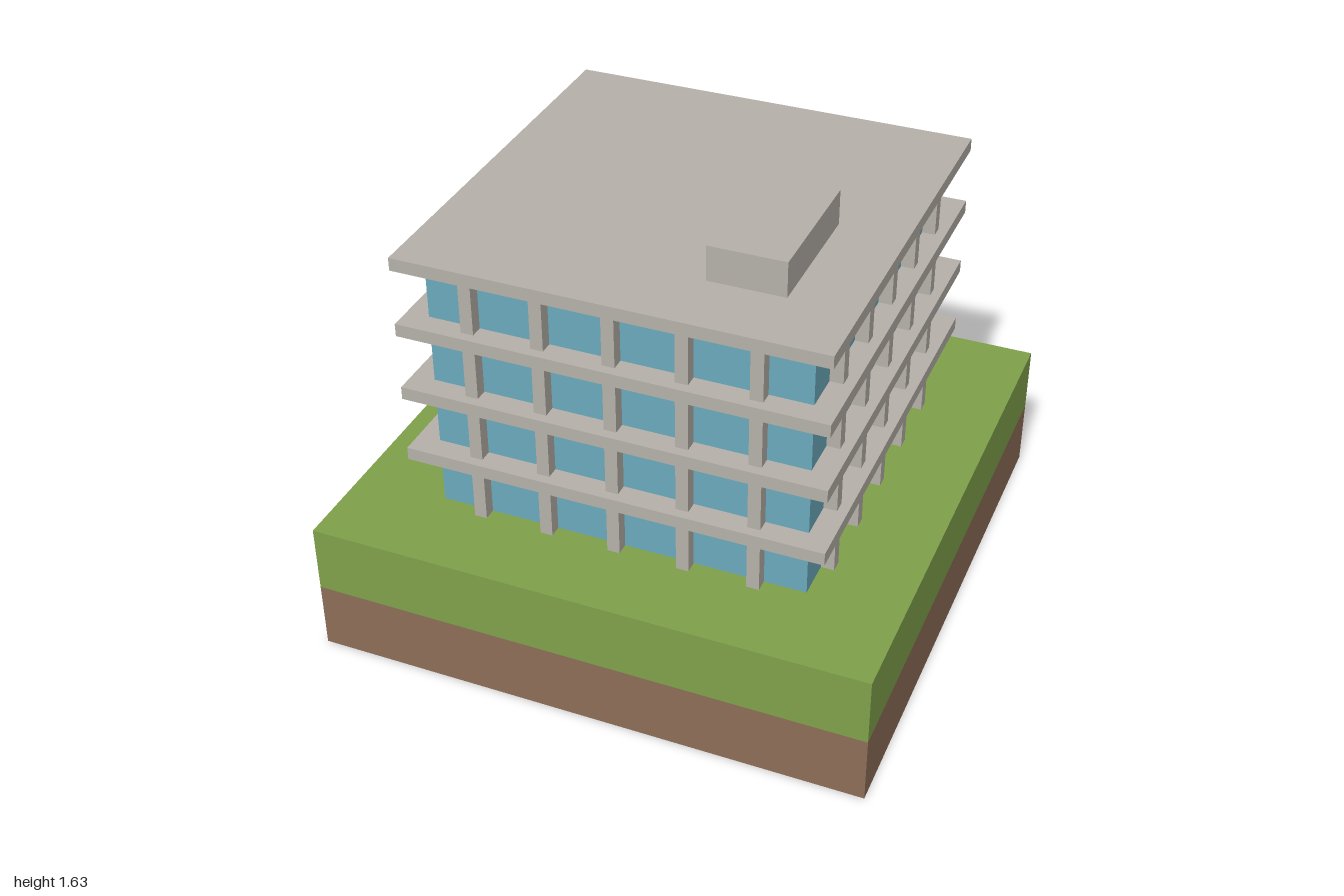
import * as THREE from 'three';

function material(name, color, extra = {}) {
  const m = new THREE.MeshStandardMaterial({ color, ...extra });
  m.name = name;
  return m;
}

export function createModel() {
  const concrete = material('concrete', 0xb5b1a9);
  const glass = material('glass', 0x6aaabb);
  const grass = material('grass', 0x7fa14a, { side: THREE.DoubleSide, flatShading: true });
  const soil = material('soil', 0x8d6e57, { side: THREE.DoubleSide, flatShading: true });

  const model = new THREE.Group();
  model.name = 'officeBuilding';

  function add(name, geometry, mat, x, y, z, parent = model) {
    const mesh = new THREE.Mesh(geometry, mat);
    mesh.name = name;
    mesh.position.set(x, y, z);
    parent.add(mesh);
    return mesh;
  }

  // Hollow ground block: two open square rings and a lawn on top
  const ring = new THREE.CylinderGeometry(Math.SQRT2, Math.SQRT2, 0.25, 4, 1, true, Math.PI / 4);
  add('soilLayer', ring, soil, 0, 0.125, 0);
  add('grassLayer', ring, grass, 0, 0.375, 0);
  add('lawn', new THREE.PlaneGeometry(2, 2).rotateX(-Math.PI / 2), grass, 0, 0.5, 0);

  // Glazed core
  add('glassWalls', new THREE.BoxGeometry(1.336, 0.98, 1.336), glass, 0, 0.99, 0);

  // Overhanging floor slabs, the highest being the roof
  const slab = new THREE.BoxGeometry(1.5, 0.047, 1.5);
  for (let i = 0; i < 4; i++) {
    add(i === 3 ? 'roof' : 'floorSlab', slab, concrete, 0, 0.7265 + i * 0.25, 0);
  }

  // Five columns per side, repeated around the building
  const column = new THREE.BoxGeometry(0.045, 0.98, 0.115);
  for (let side = 0; side < 4; side++) {
    const row = new THREE.Group();
    row.name = 'columnRow';
    row.rotation.y = side * Math.PI / 2;
    for (let i = -2; i <= 2; i++) add('column', column, concrete, i * 0.25 - 0.004, 0.99, 0.657, row);
    model.add(row);
  }

  // Plant room on the roof
  add('roofHousing', new THREE.BoxGeometry(0.27, 0.145, 0.495), concrete, 0.375, 1.5545, 0.2475);

  return model;
}
